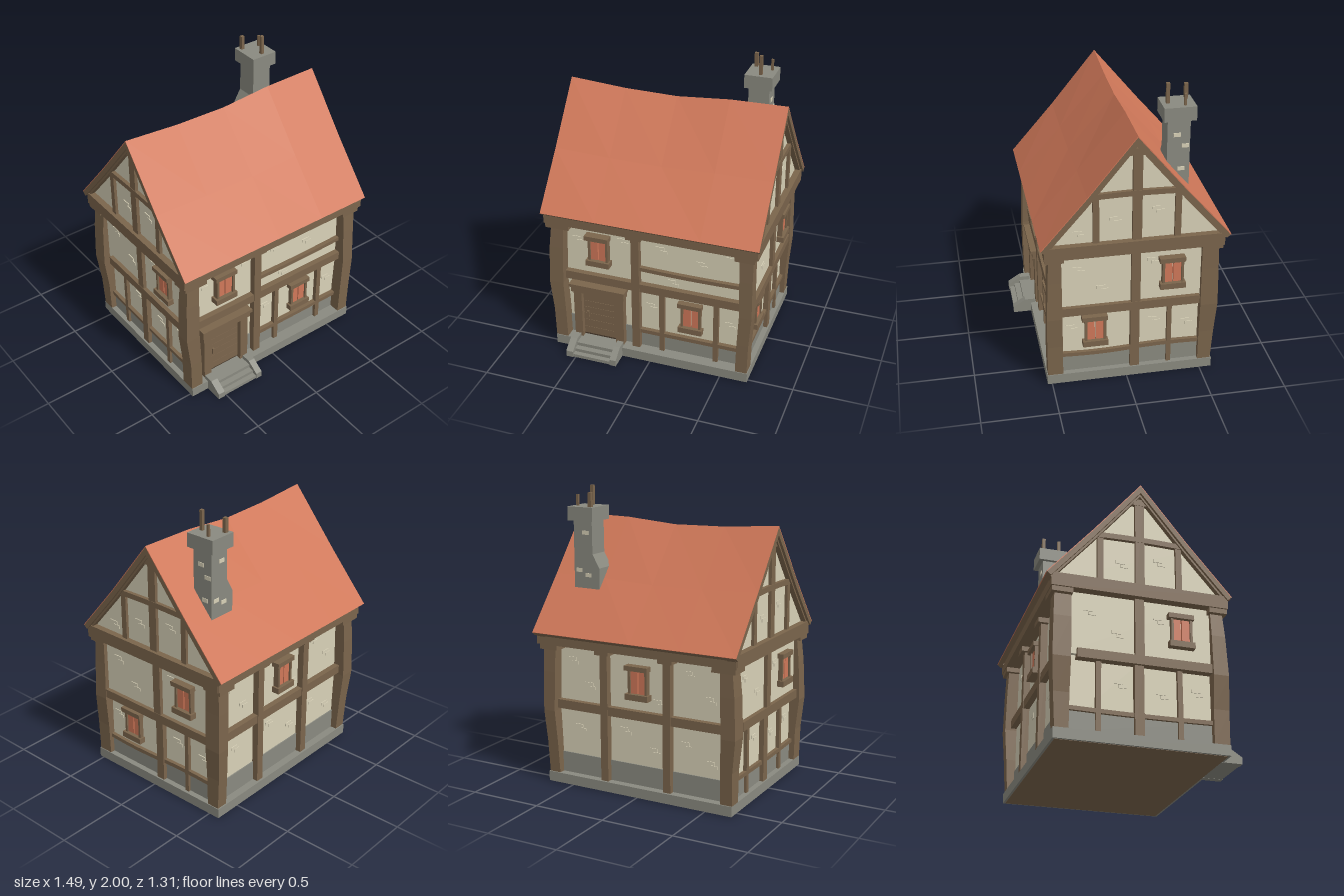
import * as THREE from 'three';

const mat = (name, color) => Object.assign(new THREE.MeshStandardMaterial({ color }), { name });
const timber = mat('timber', 0x7b654c);
const plaster = mat('plaster', 0xd8d1b7);
const stone = mat('stone', 0x8a8a80);
const tile = mat('tile', 0xd07859);
const iron = mat('dark iron', 0x4a3c2e);

function add(parent, name, geometry, material) {
  const mesh = new THREE.Mesh(geometry, material);
  mesh.name = name;
  parent.add(mesh);
  return mesh;
}

// Box given by its limits
function block(parent, name, material, x0, x1, y0, y1, z0, z1) {
  const g = new THREE.BoxGeometry(x1 - x0, y1 - y0, z1 - z0);
  g.translate((x0 + x1) / 2, (y0 + y1) / 2, (z0 + z1) / 2);
  return add(parent, name, g, material);
}

// Flat-faced solid through 2D rings placed along an axis.
// Ring coordinates: axis x = (y, z), axis y = (z, x)
function loft(rings, at, axis) {
  const n = rings[0].length;
  const flip = THREE.ShapeUtils.area(rings[0].map(p => new THREE.Vector2(...p))) < 0;
  const rs = rings.map(r => (flip ? [...r].reverse() : r));
  const pos = [], index = [];
  rs.forEach((r, i) => r.forEach(([a, b]) =>
    pos.push(...(axis === 'x' ? [at[i], a, b] : [b, at[i], a]))));
  for (let i = 0; i < rs.length - 1; i++) {
    for (let j = 0; j < n; j++) {
      const a = i * n + j, b = i * n + (j + 1) % n;
      index.push(a, b, b + n, a, b + n, a + n);
    }
  }
  const cap = r => THREE.ShapeUtils.triangulateShape(r.map(p => new THREE.Vector2(...p)), []);
  const last = (rs.length - 1) * n;
  cap(rs[0]).forEach(([a, b, c]) => index.push(a, c, b));
  cap(rs[rs.length - 1]).forEach(([a, b, c]) => index.push(last + a, last + b, last + c));
  const g = new THREE.BufferGeometry();
  g.setAttribute('position', new THREE.Float32BufferAttribute(pos, 3));
  g.setIndex(index);
  const flat = g.toNonIndexed();
  flat.computeVertexNormals();
  return flat;
}

const rect = (x0, x1, z0, z1) => [[z0, x0], [z0, x1], [z1, x1], [z1, x0]];

// Timber on a facade, standing out by d; sag bends it up or down in the middle
function beam(g, name, u0, u1, y0, y1, d = 0.03, sag = 0, material = timber) {
  const geo = new THREE.BoxGeometry(u1 - u0, y1 - y0, d + 0.02, sag ? 6 : 1, 1, 1);
  const p = geo.attributes.position;
  if (sag) {
    for (let i = 0; i < p.count; i++) {
      p.setY(i, p.getY(i) - sag * Math.cos(Math.PI * p.getX(i) / (u1 - u0)));
    }
  }
  geo.translate((u0 + u1) / 2, (y0 + y1) / 2, (d - 0.02) / 2);
  return add(g, name, geo, material);
}

// Shuttered window; y is the bottom of the sill
function shutterWindow(g, u, y, out = 0) {
  const w = new THREE.Group();
  w.name = 'window';
  w.position.set(u, y, out);
  g.add(w);
  beam(w, 'windowSill', -0.085, 0.082, 0, 0.04, 0.045);
  beam(w, 'windowHead', -0.09, 0.078, 0.195, 0.227, 0.045);
  for (const s of [-1, 1]) {
    beam(w, 'windowJamb', s * 0.062 - 0.008, s * 0.062 + 0.008, 0.03, 0.2, 0.03);
    beam(w, 'shutter', s * 0.03 - 0.026, s * 0.03 + 0.026, 0.038, 0.197, 0.018, 0, tile);
  }
}

// Raised plaster bricks; depthAt gives how far the wall stands out at a height
function bricks(g, spots, depthAt = () => 0) {
  for (const [u, y] of spots) {
    const d = depthAt(y) + 0.005;
    beam(g, 'wallBrick', u, u + 0.06, y, y + 0.022, d, 0, plaster);
    beam(g, 'wallBrick', u + 0.03, u + 0.08, y - 0.025, y - 0.003, d, 0, plaster);
  }
}

// The end walls step out at the upper storey and again at the attic
const UPPER = 0.027, ATTIC = 0.047;
const endDepth = y => (y < 0.55 ? 0 : y < 1 ? UPPER : ATTIC);

function facade(parent, name, x, z, turn) {
  const g = new THREE.Group();
  g.name = name;
  g.position.set(x, 0, z);
  g.rotation.y = turn;
  parent.add(g);
  return g;
}

function cappedPost(g, u0, u1) {
  beam(g, 'wallPost', u0, u1, 0.07, 0.98, 0.045);
  beam(g, 'postCap', u0 - 0.025, u1 + 0.025, 0.935, 0.975, 0.07);
}

// Timbers shared by the two gable ends; c is the ridge position along the wall
function gable(g, c) {
  beam(g, 'lowerPost', c - 0.03, c + 0.03, 0.07, 0.54, 0.035);
  beam(g, 'upperPost', c - 0.03, c + 0.03, 0.57, 0.98, UPPER + 0.025);
  beam(g, 'gablePost', c - 0.03, c + 0.03, 1.04, 1.65, ATTIC + 0.022);
  beam(g, 'middleBeam', -0.44, 0.48, 0.525, 0.585, UPPER + 0.028);
  beam(g, 'collarBeam', c - 0.28, c + 0.28, 1.36, 1.396, ATTIC + 0.025, -0.006);
  beam(g, 'peakBeam', c - 0.055, c + 0.055, 1.64, 1.685, ATTIC + 0.025);
  for (const s of [-1, 1]) {
    beam(g, 'gableStud', c + s * 0.26 - 0.02, c + s * 0.26 + 0.02, 1.04, 1.37, ATTIC + 0.02);
  }
}

export function createModel() {
  const model = new THREE.Group();
  model.name = 'timberHouse';

  // Base and walls
  block(model, 'baseUnderside', timber, -0.675, 0.675, 0, 0.01, -0.565, 0.515);
  block(model, 'baseSlab', stone, -0.69, 0.69, 0.002, 0.07, -0.58, 0.53);
  block(model, 'stonePlinth', stone, -0.652, 0.652, 0.06, 0.21, -0.527, 0.447);
  block(model, 'walls', plaster, -0.645, 0.645, 0.07, 1.03, -0.52, 0.44);
  block(model, 'upperEndWalls', plaster, -0.645 - UPPER, 0.645 + UPPER, 0.555, 1.03, -0.51, 0.43);
  const atticRing = [[1.03, 0.515], [1.06, 0.51], [1.35, 0.26], [1.715, -0.045],
    [1.35, -0.35], [1.06, -0.6], [1.03, -0.605]];
  add(model, 'atticWalls',
    loft([atticRing, atticRing], [-0.645 - ATTIC, 0.645 + ATTIC], 'x'), plaster);

  // Crooked corner posts with caps
  const heights = [0.07, 0.29, 0.51, 0.78, 0.98];
  const outer = { '-1': [0.69, 0.695, 0.72, 0.71, 0.69], 1: [0.685, 0.69, 0.705, 0.7, 0.7] };
  const inner = [0.605, 0.61, 0.62, 0.612, 0.605];
  const frontZ = [0.525, 0.527, 0.525, 0.515, 0.505];
  const backZ = [-0.572, -0.585, -0.6, -0.597, -0.59];
  for (const s of [-1, 1]) {
    for (const front of [true, false]) {
      const rings = heights.map((_, i) => rect(s * inner[i], s * outer[s][i],
        front ? 0.425 : -0.485, front ? frontZ[i] : backZ[i]));
      add(model, 'cornerPost', loft(rings, heights, 'y'), timber);
      const z = front ? [0.41, 0.53] : [-0.615, -0.48];
      const x = s < 0 ? [-0.725, -0.56] : [0.58, 0.715];
      block(model, 'cornerCap', timber, ...x, 0.935, 0.975, ...z);
    }
    // Top plates under the gables
    const px = s < 0 ? [-0.735, -0.63] : [0.63, 0.735];
    block(model, 'sideTopPlate', timber, ...px, 0.968, 1.056, -0.615, 0.53);
  }
  block(model, 'frontTopPlate', timber, -0.733, 0.733, 0.969, 1.03, 0.42, 0.535);
  block(model, 'backTopPlate', timber, -0.733, 0.733, 0.969, 1.03, -0.62, -0.5);

  // Front
  const front = facade(model, 'frontFacade', 0, 0.44, 0);
  cappedPost(front, -0.14, -0.085);
  beam(front, 'middleBeam', -0.62, 0.62, 0.525, 0.585, 0.04);
  beam(front, 'upperRail', -0.09, 0.615, 0.685, 0.712, 0.03, 0.006);
  beam(front, 'lowerRail', -0.09, 0.615, 0.187, 0.215, 0.03);
  for (const u of [0.068, 0.448]) beam(front, 'stud', u - 0.017, u + 0.017, 0.07, 0.53, 0.03);
  shutterWindow(front, -0.375, 0.67, 0.015);
  shutterWindow(front, 0.272, 0.265);
  bricks(front, [[-0.57, 0.83], [-0.25, 0.87], [0.02, 0.86], [0.3, 0.8], [0.47, 0.9],
    [0.1, 0.62], [0.5, 0.37], [-0.05, 0.4]]);

  // Door
  const door = new THREE.Group();
  door.name = 'door';
  front.add(door);
  beam(door, 'doorBacking', -0.51, -0.255, 0.07, 0.45, 0.014, 0, iron);
  const cuts = [0.085, 0.14, 0.2, 0.255, 0.305, 0.355, 0.43];
  for (let i = 0; i < 6; i++) {
    beam(door, 'doorPlank', -0.503, -0.262, cuts[i] + 0.001, cuts[i + 1] - 0.001, 0.021);
  }
  beam(door, 'doorJamb', -0.562, -0.505, 0.07, 0.45, 0.052);
  beam(door, 'doorJamb', -0.26, -0.2, 0.07, 0.45, 0.052);
  beam(door, 'doorLintel', -0.575, -0.192, 0.44, 0.495, 0.065);
  beam(door, 'doorHood', -0.585, -0.182, 0.485, 0.507, 0.08);
  beam(door, 'doorHandle', -0.478, -0.464, 0.225, 0.275, 0.034);

  // Front steps
  [[0.025, 0.65], [0.048, 0.615], [0.072, 0.575]].forEach(([y, z]) =>
    block(model, 'step', stone, -0.52, -0.24, 0.002, y, 0.5, z));
  const cheek = [[0.001, 0.5], [0.001, 0.655], [0.045, 0.655], [0.1, 0.57], [0.1, 0.5]];
  for (const x of [[-0.565, -0.515], [-0.245, -0.2]]) {
    add(model, 'stepCheek', loft([cheek, cheek], x, 'x'), stone);
  }

  // Right end
  const right = facade(model, 'rightFacade', 0.645, 0, Math.PI / 2);
  gable(right, 0.055);
  beam(right, 'lowerRail', -0.44, 0.03, 0.195, 0.222, 0.025, 0.008);
  beam(right, 'lowerRail', 0.08, 0.49, 0.2, 0.228, 0.025, -0.005);
  beam(right, 'stud', 0.272, 0.302, 0.07, 0.53, 0.025);
  shutterWindow(right, -0.205, 0.265);
  shutterWindow(right, 0.295, 0.67, UPPER + 0.005);
  bricks(right, [[-0.35, 0.85], [-0.2, 0.7], [0.13, 0.87], [-0.4, 0.4], [0.15, 0.4],
    [0.37, 0.36], [-0.12, 1.2], [0.15, 1.25], [-0.35, 1.12]], endDepth);

  // Left end
  const left = facade(model, 'leftFacade', -0.645, 0, -Math.PI / 2);
  gable(left, -0.045);
  beam(left, 'lowerRail', -0.49, 0.44, 0.195, 0.222, 0.025, 0.006);
  for (const u of [-0.3, 0.22]) beam(left, 'stud', u - 0.016, u + 0.016, 0.07, 0.53, 0.025);
  shutterWindow(left, 0.23, 0.67, UPPER);
  bricks(left, [[-0.4, 0.85], [-0.22, 0.72], [0.05, 0.85], [-0.2, 0.4], [0.07, 0.36],
    [0.3, 0.4], [-0.2, 1.2], [0.05, 1.25]], endDepth);

  // Back
  const back = facade(model, 'backFacade', 0, -0.52, Math.PI);
  cappedPost(back, -0.28, -0.225);
  cappedPost(back, 0.19, 0.245);
  beam(back, 'middleBeam', -0.62, 0.62, 0.525, 0.585, 0.04);
  shutterWindow(back, 0, 0.66, 0.01);
  bricks(back, [[-0.55, 0.86], [-0.42, 0.7], [0.1, 0.65], [0.32, 0.87], [0.47, 0.72],
    [-0.5, 0.4], [-0.15, 0.43], [0.07, 0.32], [0.3, 0.4], [0.48, 0.3]]);

  // Sagging roof: tile skin over a timber deck, with the eaves cut square to the slope
  const stations = [-0.745, -0.36, 0, 0.36, 0.745];
  const sags = [0, 0.028, 0.035, 0.006, 0];
  const profile = [[0.56, 1.05, 0], [0.265, 1.393, 0.5], [-0.045, 1.778, 1],
    [-0.355, 1.4, 0.5], [-0.655, 1.05, 0]];
  const line = (drop, sag) => profile.map(([z, y, k]) => (k
    ? [y - k * sag - drop, z] : [y - 0.42 * drop, z - Math.sign(z) * 0.49 * drop]));
  const band = (top, bottom, sag) => [...line(top, sag), ...line(bottom, sag).reverse()];
  const slab = (top, bottom) => loft(sags.map(s => band(top, bottom, s)), stations, 'x');
  add(model, 'roofTiles', slab(0, 0.008), tile);
  add(model, 'roofDeck', slab(0.008, 0.058), timber);
  for (const x of [[-0.728, -0.67], [0.67, 0.728]]) {
    const rake = band(0.05, 0.078, 0);
    add(model, 'rakeBeams', loft([rake, rake], x, 'x'), timber);
  }

  // Chimney with a shoulder, cap and flue sticks
  const shaft = [[1.15, 0.37], [1.47, 0.367], [1.56, 0.418], [1.79, 0.42]];
  add(model, 'chimneyShaft', loft(shaft.map(([, x]) => rect(x, 0.56, -0.413, -0.268)),
    shaft.map(s => s[0]), 'y'), stone);
  block(model, 'chimneyCap', stone, 0.395, 0.585, 1.778, 1.87, -0.445, -0.24);
  for (const [x, z, r, top] of [[0.43, -0.41, 0.012, 1.965], [0.495, -0.28, 0.011, 2],
    [0.547, -0.378, 0.008, 1.945]]) {
    block(model, 'flueStick', timber, x - r, x + r, 1.86, top, z - r, z + r);
  }
  for (const [z, y] of [[-0.33, 1.68], [-0.383, 1.605], [-0.36, 1.45]]) {
    block(model, 'chimneyBrick', plaster, 0.555, 0.564, y - 0.013, y + 0.013, z - 0.023, z + 0.023);
  }
  for (const [x, y] of [[0.47, 1.7], [0.52, 1.45], [0.45, 1.42]]) {
    block(model, 'chimneyBrick', plaster, x - 0.023, x + 0.023, y - 0.013, y + 0.013, -0.417, -0.408);
  }
  return model;
}
